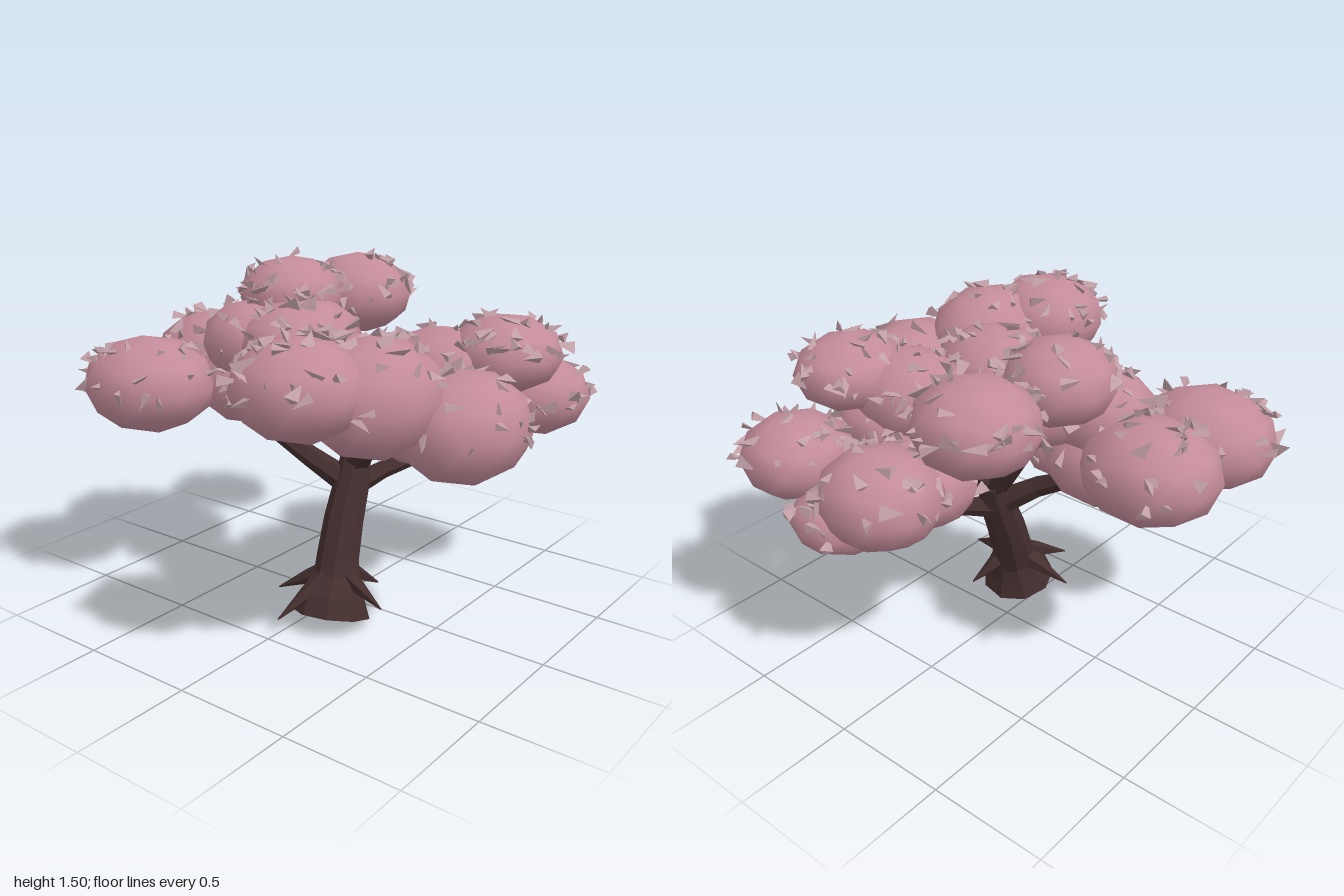
import * as THREE from 'three';
import { mergeGeometries } from 'three/addons/utils/BufferGeometryUtils.js';

const bark = new THREE.MeshStandardMaterial({ color: 0x442e2e, flatShading: true, side: THREE.DoubleSide, name: 'bark' });
const blossom = new THREE.MeshStandardMaterial({ color: 0xc48c9a, name: 'blossom' });
const petal = new THREE.MeshStandardMaterial({ color: 0xc19fa6, flatShading: true, name: 'petal' });

// Foliage clumps: centre x, y, z, then radii x, y, z
const CLUMPS = [
  [-0.71, 1.01, 0.0, 0.28, 0.2, 0.25], [-0.69, 0.97, 0.44, 0.29, 0.2, 0.26],
  [-0.30, 1.265, -0.52, 0.245, 0.18, 0.235], [-0.35, 1.31, -0.1, 0.22, 0.165, 0.22],
  [-0.20, 1.15, 0.02, 0.24, 0.18, 0.29], [-0.40, 1.13, 0.09, 0.23, 0.18, 0.21],
  [-0.22, 0.92, 0.14, 0.18, 0.15, 0.2], [-0.45, 0.94, 0.07, 0.25, 0.18, 0.22],
  [0.14, 0.84, -0.6, 0.26, 0.2, 0.25], [0.29, 0.73, -0.63, 0.22, 0.145, 0.25],
  [0.2, 0.78, -0.34, 0.26, 0.19, 0.26], [0.57, 0.9, -0.64, 0.235, 0.17, 0.235],
  [0.6, 1.15, -0.3, 0.23, 0.155, 0.24], [0.39, 1.06, -0.17, 0.27, 0.19, 0.23],
  [0.46, 0.93, -0.25, 0.23, 0.14, 0.18],
  [0.25, 1.07, 0.22, 0.27, 0.2, 0.24], [0.7, 0.98, 0.18, 0.25, 0.21, 0.28],
  [0.33, 1.17, 0.68, 0.26, 0.185, 0.245], [0.48, 1.11, 0.44, 0.25, 0.22, 0.28],
];

function random(seed) {
  return () => {
    seed = (seed * 16807) % 2147483647;
    return seed / 2147483647;
  };
}

// Tapered limb through points [x, y, z, radius], open at the start
function limb(name, points, sides = 7) {
  const centres = points.map(p => new THREE.Vector3(p[0], p[1], p[2]));
  const pos = [], index = [], last = points.length - 1;
  centres.forEach((c, i) => {
    const dir = centres[Math.min(i + 1, last)].clone().sub(centres[Math.max(i - 1, 0)]).normalize();
    const ref = Math.abs(dir.y) > 0.75 ? new THREE.Vector3(0, 0, 1) : new THREE.Vector3(0, 1, 0);
    const u = ref.cross(dir).normalize();
    const v = dir.clone().cross(u);
    for (let k = 0; k < sides; k++) {
      const a = k / sides * Math.PI * 2, r = points[i][3];
      const p = c.clone().addScaledVector(u, Math.cos(a) * r).addScaledVector(v, Math.sin(a) * r);
      pos.push(p.x, p.y, p.z);
      if (i < last) {
        const A = i * sides + k, B = i * sides + (k + 1) % sides;
        index.push(A, B, B + sides, A, B + sides, A + sides);
      }
    }
  });
  for (let k = 1; k < sides - 1; k++) index.push(last * sides, last * sides + k, last * sides + k + 1);
  const g = new THREE.BufferGeometry();
  g.setAttribute('position', new THREE.Float32BufferAttribute(pos, 3));
  g.setIndex(index);
  g.computeVertexNormals();
  const mesh = new THREE.Mesh(g, bark);
  mesh.name = name;
  return mesh;
}

// Flat three-sided petals scattered over the exposed upper surface
function scatteredPetals() {
  const rnd = random(4711), parts = [];
  const base = new THREE.ConeGeometry(0.034, 0.085, 3).scale(1, 1, 0.5);
  const up = new THREE.Vector3(0, 1, 0);
  CLUMPS.forEach((c, n) => {
    for (let i = 0; i < 36; i++) {
      const y = -0.1 + 1.08 * rnd(), a = rnd() * Math.PI * 2, s = 1.03 * Math.sqrt(1 - y * y);
      const d = new THREE.Vector3(s * Math.cos(a), 1.04 * y, s * Math.sin(a));
      const p = new THREE.Vector3(c[0] + d.x * c[3], c[1] + d.y * c[4], c[2] + d.z * c[5]);
      const heading = new THREE.Vector3(rnd() - 0.5, (rnd() - 0.5) * 0.5, rnd() - 0.5)
        .normalize().addScaledVector(d, 0.2).normalize();
      const spin = rnd() * 6.28, size = 0.75 + 0.4 * rnd();
      const buried = CLUMPS.some((o, m) => m !== n &&
        Math.hypot((p.x - o[0]) / o[3], (p.y - o[1]) / o[4], (p.z - o[2]) / o[5]) < 1);
      if (buried) continue;
      const q = new THREE.Quaternion().setFromUnitVectors(up, heading)
        .multiply(new THREE.Quaternion().setFromAxisAngle(up, spin));
      const m = new THREE.Matrix4().compose(p, q, new THREE.Vector3(size, size, size));
      parts.push(base.clone().applyMatrix4(m));
    }
  });
  const mesh = new THREE.Mesh(mergeGeometries(parts), petal);
  mesh.name = 'petals';
  return mesh;
}

export function createModel() {
  const tree = new THREE.Group();
  tree.name = 'blossomTree';

  // Leaning trunk with flared, open foot
  tree.add(limb('trunk', [
    [0.12, 0.05, 0.225, 0.167], [0.115, 0.12, 0.205, 0.138], [0.105, 0.19, 0.17, 0.1],
    [0.09, 0.27, 0.14, 0.092], [0.075, 0.42, 0.08, 0.086], [0.068, 0.58, 0.01, 0.077],
    [0.06, 0.69, -0.03, 0.064],
  ], 9));

  // Pointed roots
  [[-0.15, 0.1, 0.25], [0.03, 0.09, 0.47], [0.37, 0.14, 0.22], [0.18, 0.11, -0.03]].forEach(t => {
    const s = [0.1, 0.24, 0.16];
    const mid = s.map((v, i) => v + (t[i] - v) * 0.45);
    tree.add(limb('root', [[...s, 0.05], [...mid, 0.036], [...t, 0.003]], 5));
  });

  // Branches reaching into the crown
  [
    [[0.06, 0.56, 0.02, 0.058], [-0.1, 0.67, 0.09, 0.045], [-0.42, 0.84, 0.14, 0.027]],
    [[0.06, 0.65, -0.02, 0.055], [-0.04, 0.76, -0.04, 0.04], [-0.2, 0.98, -0.06, 0.025]],
    [[0.06, 0.64, -0.02, 0.06], [0.2, 0.78, 0.07, 0.042], [0.3, 0.83, 0.11, 0.036], [0.44, 0.87, 0.14, 0.025]],
    [[0.07, 0.66, -0.03, 0.05], [0.14, 0.78, -0.07, 0.037], [0.35, 0.92, -0.18, 0.025]],
    [[0.06, 0.54, 0.02, 0.05], [0.12, 0.59, -0.14, 0.038], [0.22, 0.63, -0.42, 0.025]],
  ].forEach(p => tree.add(limb('branch', p, 6)));

  // Crown of squashed, coarse round clumps with a vertex at each pole
  const crown = new THREE.Group();
  crown.name = 'crown';
  const ball = new THREE.IcosahedronGeometry(1.03, 1).rotateZ(-0.5536);
  CLUMPS.forEach(([x, y, z, rx, ry, rz]) => {
    const m = new THREE.Mesh(ball, blossom);
    m.name = 'foliageClump';
    m.position.set(x, y, z);
    m.scale.set(rx, ry, rz);
    crown.add(m);
  });
  crown.add(scatteredPetals());
  tree.add(crown);
  return tree;
}
